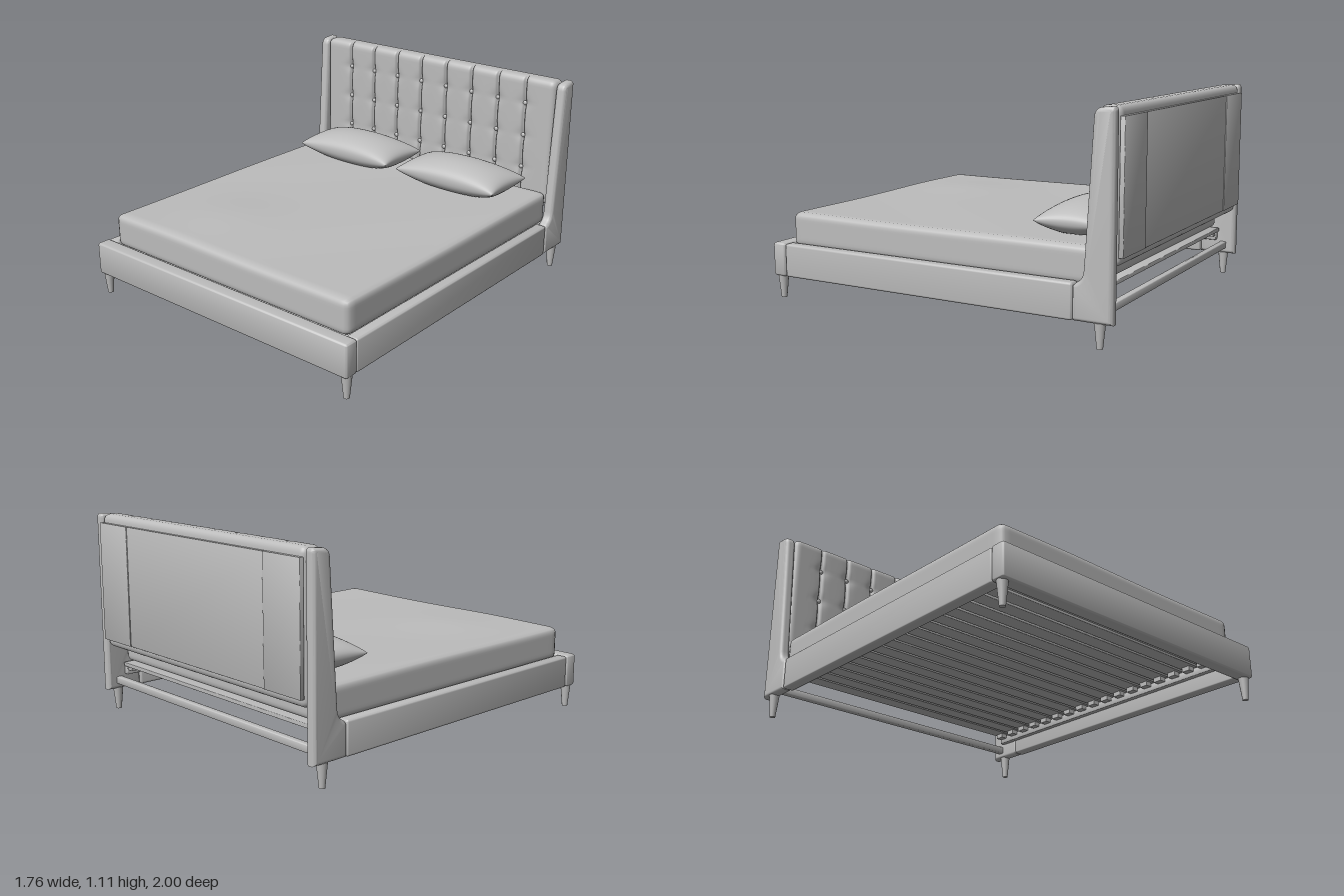
import * as THREE from 'three';
import { mergeVertices, toCreasedNormals } from 'three/addons/utils/BufferGeometryUtils.js';
import { RoundedBoxGeometry } from 'three/addons/geometries/RoundedBoxGeometry.js';

const fabric = new THREE.MeshStandardMaterial({ color: 0xbcbcbc });
fabric.name = 'grey fabric';

// Moves every vertex by a rule, then welds and smooths the surface
function deform(geo, rule) {
  geo.deleteAttribute('uv');
  geo.deleteAttribute('normal');
  const p = geo.attributes.position, v = new THREE.Vector3();
  for (let i = 0; i < p.count; i++) {
    rule(v.fromBufferAttribute(p, i));
    p.setXYZ(i, v.x, v.y, v.z);
  }
  const out = mergeVertices(geo, 1e-5);
  out.computeVertexNormals();
  return out;
}

// Finely divided box with rounded edges and an extra surface rule
function softBox(w, h, d, r, segs, rule) {
  const inner = new THREE.Vector3();
  const lim = new THREE.Vector3(w / 2 - r, h / 2 - r, d / 2 - r), neg = lim.clone().negate();
  return deform(new THREE.BoxGeometry(w, h, d, ...segs), v => {
    inner.copy(v).clamp(neg, lim);
    v.sub(inner).setLength(r).add(inner);
    rule(v);
  });
}

export function createModel() {
  const bed = new THREE.Group();
  bed.name = 'bed';
  const add = (name, geo, x = 0, y = 0, z = 0) => {
    const m = new THREE.Mesh(geo, fabric);
    m.name = name;
    m.position.set(x, y, z);
    bed.add(m);
  };
  const block = (name, x0, x1, y0, y1, z0, z1, r = 0.012) => add(name,
    toCreasedNormals(new RoundedBoxGeometry(x1 - x0, y1 - y0, z1 - z0, 3, r), 0.6),
    (x0 + x1) / 2, (y0 + y1) / 2, (z0 + z1) / 2);

  // Wing profile: depth along the shape's x, height along its y
  const wing = new THREE.Shape();
  wing.moveTo(-0.98, 0.12);
  wing.lineTo(-0.775, 0.12);
  wing.lineTo(-0.775, 0.28);
  wing.bezierCurveTo(-0.79, 0.31, -0.825, 0.3, -0.83, 0.36);
  wing.lineTo(-0.873, 1.06);
  wing.quadraticCurveTo(-0.878, 1.095, -0.91, 1.1);
  wing.lineTo(-0.96, 1.105);
  wing.quadraticCurveTo(-0.98, 1.105, -0.98, 1.08);
  wing.closePath();
  const bevel = 0.022;
  const wingGeo = toCreasedNormals(new THREE.ExtrudeGeometry(wing, {
    depth: 0.06 - 2 * bevel, bevelThickness: bevel, bevelSize: bevel,
    bevelOffset: -bevel, bevelSegments: 5, curveSegments: 8,
  }).translate(0, 0, bevel - 0.03).rotateY(-Math.PI / 2), 0.6);

  const legGeo = new THREE.CylinderGeometry(0.028, 0.015, 0.125, 20);

  // Frame, wings and legs
  block('footboard', -0.88, 0.88, 0.12, 0.3, 0.92, 1, 0.015);
  for (const s of [-1, 1]) {
    const side = s < 0 ? 'right' : 'left';
    const x = s * 0.845;
    block(side + 'SideRail', x - 0.032, x + 0.032, 0.12, 0.297, -0.775, 0.92);
    block(side + 'SlatLedge', s * 0.8 - 0.015, s * 0.8 + 0.015, 0.2, 0.245, -0.88, 0.91, 0.004);
    add(side + 'Wing', wingGeo, s * 0.849);
    add(side + 'FrontLeg', legGeo, s * 0.848, 0.0625, 0.96);
    add(side + 'BackLeg', legGeo, s * 0.848, 0.0625, -0.907);
  }
  block('backCrossBar', -0.83, 0.83, 0.15, 0.19, -0.93, -0.895, 0.005);

  // Slats with holders at both ends
  for (let i = 0; i < 18; i++) {
    const z = -0.85 + i * 0.101;
    block('slat', -0.8, 0.8, 0.25, 0.272, z - 0.043, z + 0.043, 0.004);
    for (const s of [-1, 1])
      add('slatHolder', new THREE.BoxGeometry(0.04, 0.025, 0.05), s * 0.768, 0.238, z);
  }

  // Tufted headboard: narrow deep seams, with buttons along each
  const rows = [0.95, 0.76, 0.57], midY = 0.74, pitch = 0.18;
  const bell = (d, w) => Math.exp(-(d * d) / (w * w));
  const seamGap = x => Math.abs(x) > 0.72 ? 1 : x - (Math.round(x / pitch - 0.5) + 0.5) * pitch;
  const headGeo = softBox(1.635, 0.73, 0.11, 0.034, [218, 48, 10], v => {
    const front = THREE.MathUtils.smoothstep(v.z, -0.01, 0.045);
    const gap = seamGap(v.x);
    let dent = 0.028 * bell(gap, 0.006) + 0.003 * bell(gap, 0.03);
    for (const y of rows)
      dent += 0.009 * bell(Math.hypot(gap, v.y + midY - y), 0.035)
        + 0.002 * bell(v.y + midY - y, 0.012) * bell(gap, 0.07);
    v.z -= dent * front;
  });
  add('headboard', headGeo, 0, midY, -0.925);
  const buttonGeo = new THREE.SphereGeometry(0.013, 14, 10).scale(1, 1, 0.7);
  for (let i = -4; i < 4; i++)
    for (const y of rows) add('button', buttonGeo, (i + 0.5) * pitch, y, -0.886);

  // Back panel in three sections
  block('backPanelMiddle', -0.555, 0.555, 0.42, 1.06, -0.996, -0.975, 0.003);
  for (const s of [-1, 1])
    block('backPanelSide', s * 0.683 - 0.127, s * 0.683 + 0.127, 0.42, 1.06, -1, -0.975, 0.003);

  // Mattress with a slightly uneven top
  add('mattress', softBox(1.63, 0.185, 1.785, 0.035, [60, 14, 60], v => {
    if (v.y > 0.05) v.y += 0.012 * bell(Math.hypot(v.x + 0.35, v.z - 0.5), 0.25)
      + 0.002 * Math.sin(5 * v.x + 4 * v.z);
  }), 0, 0.367, 0.022);

  // Pillows: pinched edges, plump on top and flattened below
  const pillowGeo = deform(new THREE.BoxGeometry(2, 2, 2, 40, 1, 28), v => {
    const u = Math.sin(v.x * Math.PI / 2), w = Math.sin(v.z * Math.PI / 2);
    const full = Math.pow(Math.max(0, (1 - u * u) * (1 - w * w)), 0.44);
    v.set(u * (0.33 - 0.012 * (1 - w * w)),
      v.y > 0 ? 0.093 * full : Math.max(-0.066, -0.1 * full),
      w * (0.175 - 0.006 * (1 - u * u)));
  });
  add('rightPillow', pillowGeo, -0.372, 0.528, -0.652);
  add('leftPillow', pillowGeo, 0.365, 0.528, -0.652);

  return bed;
}
